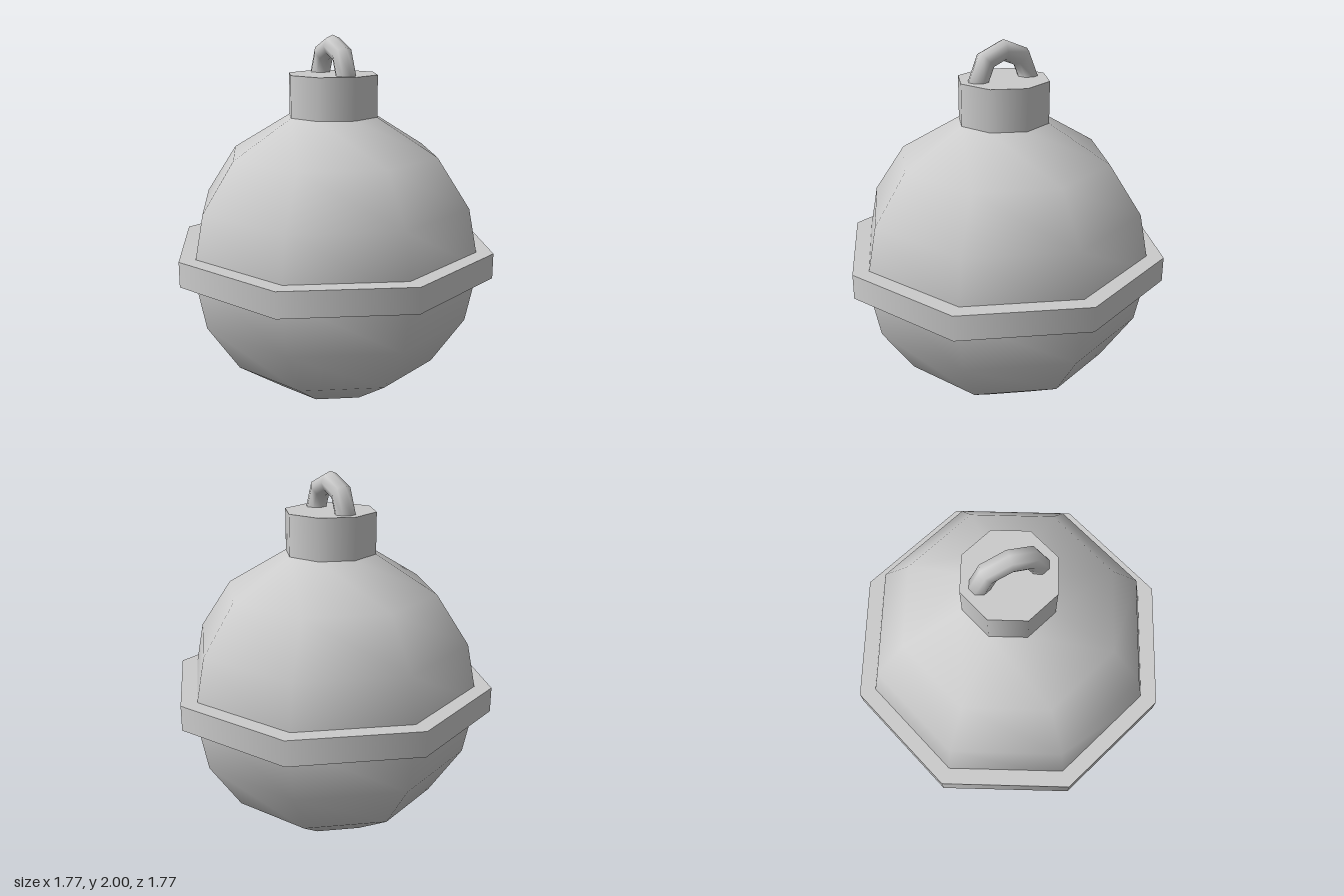
import * as THREE from 'three';

const SIDES = 8;

export function createModel() {
  const group = new THREE.Group();
  const material = new THREE.MeshStandardMaterial({ color: 0xcccccc });

  const add = (name, geometry, y = 0) => {
    const mesh = new THREE.Mesh(geometry, material);
    mesh.name = name;
    mesh.position.y = y;
    group.add(mesh);
    return mesh;
  };

  // Octagonal ball: rings every 22.5 degrees, closed off flat under the neck
  const radius = 0.808, centre = 0.812;
  const profile = [];
  for (let i = 0; i <= 6; i++) {
    const a = (i * Math.PI) / 8;
    profile.push(new THREE.Vector2(radius * Math.sin(a), centre - radius * Math.cos(a)));
  }
  profile.push(new THREE.Vector2(0.245, 1.58));
  add('body', new THREE.LatheGeometry(profile, SIDES));

  // Belt around the middle
  add('belt', new THREE.CylinderGeometry(0.883, 0.883, 0.135, SIDES), 0.822);

  // Neck cap
  add('neck', new THREE.CylinderGeometry(0.245, 0.245, 0.22, SIDES), 1.69);

  // Half-ring hanger standing in the front-to-back plane
  const loop = add('hangerLoop', new THREE.TorusGeometry(0.145, 0.055, 8, 4, Math.PI), 1.8);
  loop.rotation.y = Math.PI / 2;

  return group;
}
